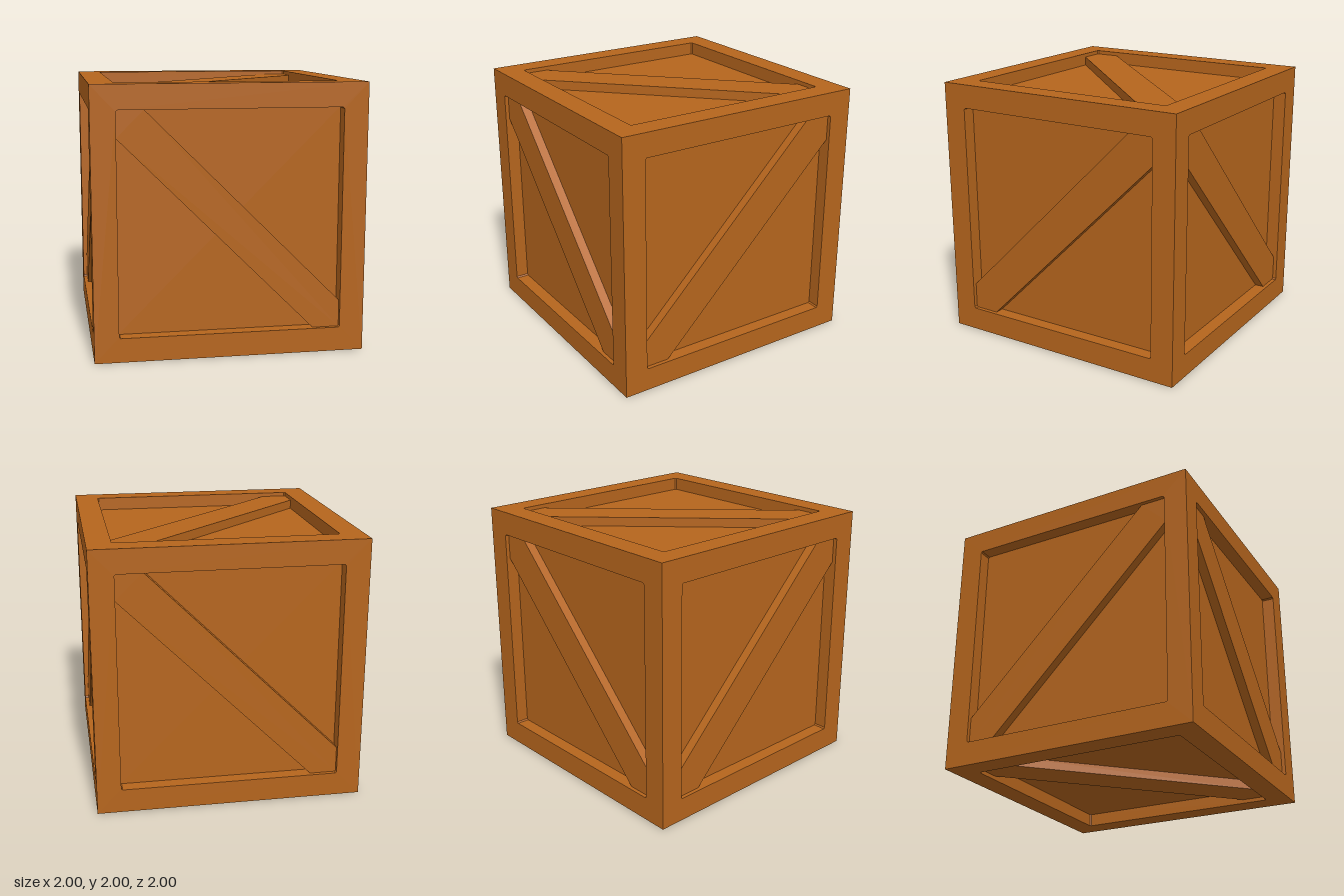
import * as THREE from 'three';

const HALF = 1, INNER = 0.82, CORE = 0.9, BRACE_TOP = 0.97, CUT = 0.62, R = 0.01;

// Square frame with a softly cornered opening; its back outer edge is mitred to meet its neighbours
function frameGeometry() {
  const shape = new THREE.Shape([[-HALF, -HALF], [HALF, -HALF], [HALF, HALF], [-HALF, HALF]]
    .map(([x, y]) => new THREE.Vector2(x, y)));
  const a = INNER, b = INNER - R;
  shape.holes.push(new THREE.Path([[-a, -b], [-a, b], [-b, a], [b, a], [a, b], [a, -b], [b, -a], [-b, -a]]
    .map(([x, y]) => new THREE.Vector2(x, y))));
  const geo = new THREE.ExtrudeGeometry(shape, { depth: HALF - CORE, bevelEnabled: false });
  geo.translate(0, 0, CORE);
  const p = geo.attributes.position;
  for (let i = 0; i < p.count; i++) {
    if (p.getZ(i) < CORE + 0.01 && Math.abs(p.getX(i)) > 0.95) {
      p.setXY(i, p.getX(i) * CORE, p.getY(i) * CORE);
    }
  }
  geo.computeVertexNormals();
  return geo;
}

// Diagonal plank clipped to the opening, running bottom left to top right
function braceGeometry() {
  const a = INNER, c = CUT;
  const shape = new THREE.Shape([[-a, -a], [-c, -a], [a, c], [a, a], [c, a], [-a, -c]]
    .map(([x, y]) => new THREE.Vector2(x, y)));
  const geo = new THREE.ExtrudeGeometry(shape, { depth: BRACE_TOP - CORE, bevelEnabled: false });
  return geo.translate(0, 0, CORE);
}

export function createModel() {
  const wood = new THREE.MeshStandardMaterial({ color: 0xb5651d });
  wood.name = 'wood';
  const model = new THREE.Group();
  model.name = 'crate';

  // Recessed panels are the faces of one inner box
  const panels = new THREE.Mesh(new THREE.BoxGeometry(2 * CORE, 2 * CORE, 2 * CORE), wood);
  panels.name = 'panels';
  panels.position.y = HALF;
  model.add(panels);

  const frameGeo = frameGeometry();
  const rising = braceGeometry();
  const falling = rising.clone().rotateZ(Math.PI / 2);
  const q = Math.PI / 2;

  // name, x turn, y turn, brace
  const sides = [
    ['front', 0, 0, falling],
    ['left', 0, q, rising],
    ['back', 0, 2 * q, falling],
    ['right', 0, -q, rising],
    ['top', -q, 0, rising],
    ['bottom', q, 0, rising],
  ];
  for (const [name, rx, ry, braceGeo] of sides) {
    const side = new THREE.Group();
    side.name = name + 'Side';
    const frame = new THREE.Mesh(frameGeo, wood);
    frame.name = name + 'Frame';
    const brace = new THREE.Mesh(braceGeo, wood);
    brace.name = name + 'Brace';
    side.add(frame, brace);
    side.rotation.set(rx, ry, 0);
    side.position.y = HALF;
    model.add(side);
  }
  return model;
}
